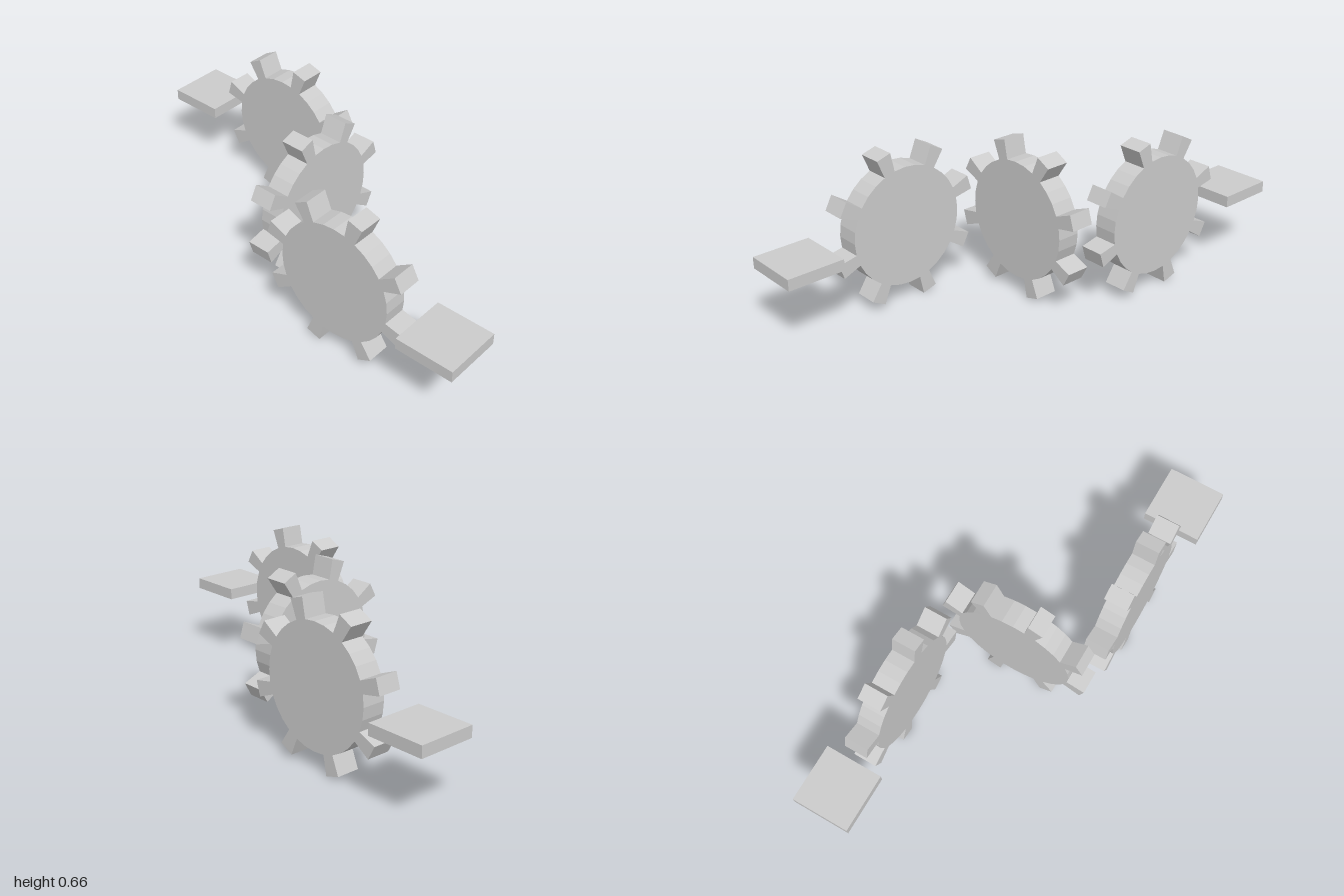
import * as THREE from 'three';

const SIDES = 32, R_BODY = 0.253, R_TIP = 0.335, THICK = 0.1, AXLE_Y = 0.329;

// Gear: 32-sided disc with every fourth facet pulled outward as a flared tooth
function gearGeometry() {
  const pts = [];
  const add = (k, r) => {
    const a = (k / SIDES) * Math.PI * 2;
    pts.push(new THREE.Vector2(r * Math.cos(a), r * Math.sin(a)));
  };
  for (let k = 0; k < SIDES; k++) {
    add(k, R_BODY);
    if (k % 4 === 1) {
      add(k, R_TIP);
      add(k + 1, R_TIP);
    }
  }
  const geo = new THREE.ExtrudeGeometry(new THREE.Shape(pts), { depth: THICK, bevelEnabled: false });
  return geo.translate(0, 0, -THICK / 2);
}

export function createModel() {
  const model = new THREE.Group();
  const material = new THREE.MeshStandardMaterial({ color: 0xcccccc, flatShading: true });

  const add = (name, geometry, x, y, z, turn = 0) => {
    const mesh = new THREE.Mesh(geometry, material);
    mesh.name = name;
    mesh.position.set(x, y, z);
    mesh.rotation.y = turn;
    model.add(mesh);
  };

  // Central gear faces front; the two outer gears are turned to the side
  const gear = gearGeometry();
  add('centerGear', gear, -0.003, AXLE_Y, 0.003);
  add('frontGear', gear, -0.303, AXLE_Y, 0.405, Math.PI / 2);
  add('backGear', gear, 0.3, AXLE_Y, -0.403, Math.PI / 2);

  // Flat square plates at both ends
  const plate = new THREE.BoxGeometry(0.246, 0.048, 0.244);
  add('frontPlate', plate, -0.304, 0.305, 0.878);
  add('backPlate', plate, 0.303, 0.305, -0.878);

  return model;
}
